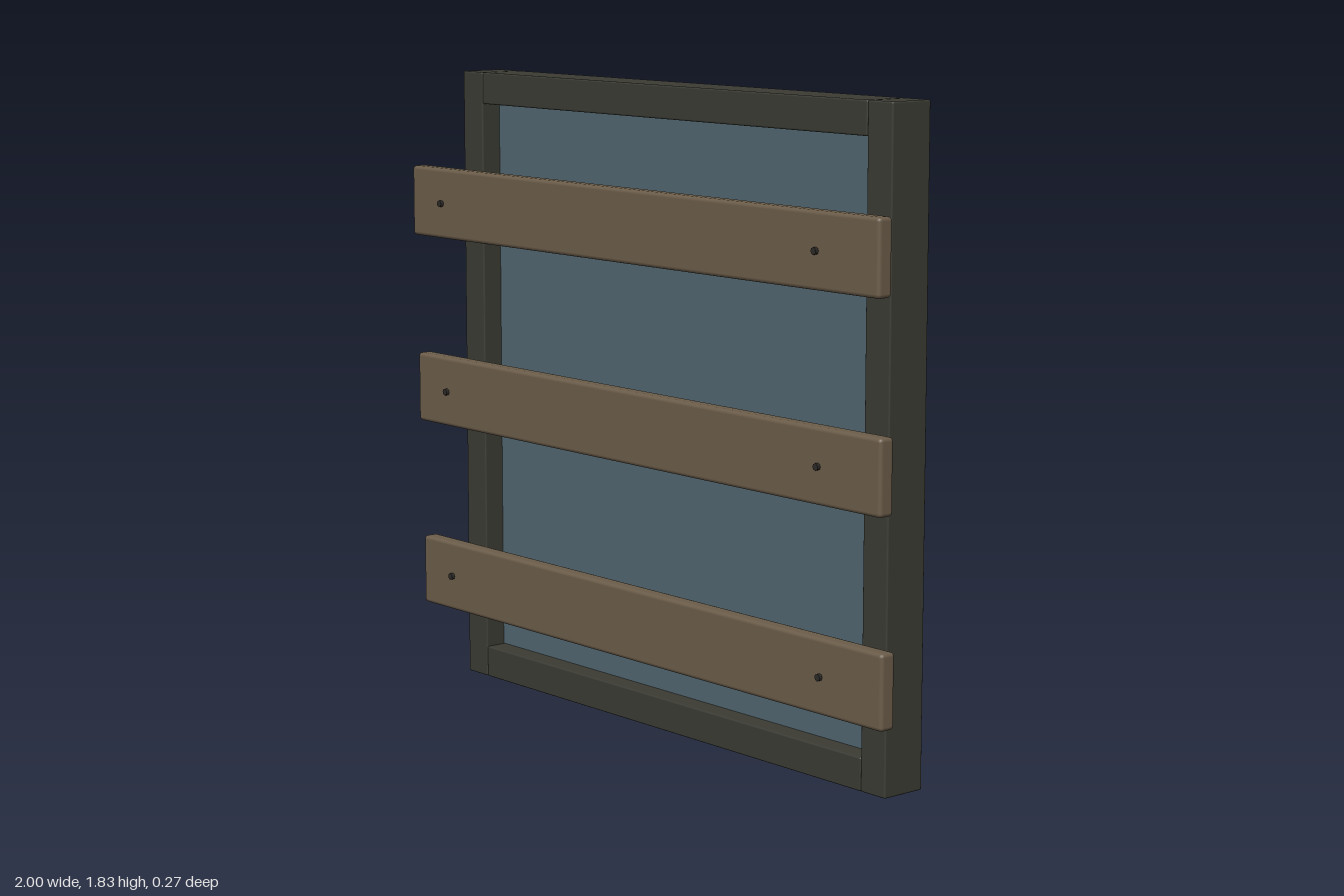
import * as THREE from 'three';
import { RoundedBoxGeometry } from 'three/addons/geometries/RoundedBoxGeometry.js';

export function createModel() {
  const group = new THREE.Group();
  const mat = (name, color) => {
    const m = new THREE.MeshStandardMaterial({ color });
    m.name = name;
    return m;
  };
  const darkTimber = mat('dark timber', 0x3b3b34);
  const plankWood = mat('plank wood', 0x6b5c49);
  const glass = mat('blue glass', 0x50646f);
  const iron = mat('dark iron', 0x2c2a27);

  const add = (name, geometry, material, x, y, z) => {
    const mesh = new THREE.Mesh(geometry, material);
    mesh.name = name;
    mesh.position.set(x, y, z);
    group.add(mesh);
    return mesh;
  };

  // Window frame: two full-height stiles with rails between them
  const H = 1.83, D = 0.136, W = 0.093, zFrame = -D / 2;
  for (const [side, s] of [['left', 1], ['right', -1]]) {
    add(side + 'Stile', new RoundedBoxGeometry(W, H, D, 2, 0.005), darkTimber, s * (0.912 - W / 2), H / 2, zFrame);
  }
  for (const [name, y] of [['bottomRail', W / 2], ['topRail', H - W / 2]]) {
    add(name, new RoundedBoxGeometry(1.638, W, D, 2, 0.005), darkTimber, 0, y, zFrame);
  }

  // Pane set in the middle of the frame depth
  add('pane', new THREE.BoxGeometry(1.638, H - 2 * W + 0.004, 0.01), glass, 0, H / 2, zFrame);

  // Three planks across the front, each a little further forward than the one below
  const planks = [['lower', 0.319, 0.078], ['middle', 0.883, 0.091], ['upper', 1.447, 0.104]];
  for (const [name, y, z] of planks) {
    add(name + 'Plank', new RoundedBoxGeometry(2, 0.207, 0.048, 2, 0.011), plankWood, 0, y, z);
    // Nail heads
    for (const x of [-0.853, 0.767]) {
      const nail = add(name + 'Nail', new THREE.CylinderGeometry(0.01, 0.01, 0.02, 8), iron, x, y, z + 0.024);
      nail.rotation.x = Math.PI / 2;
    }
  }
  return group;
}
